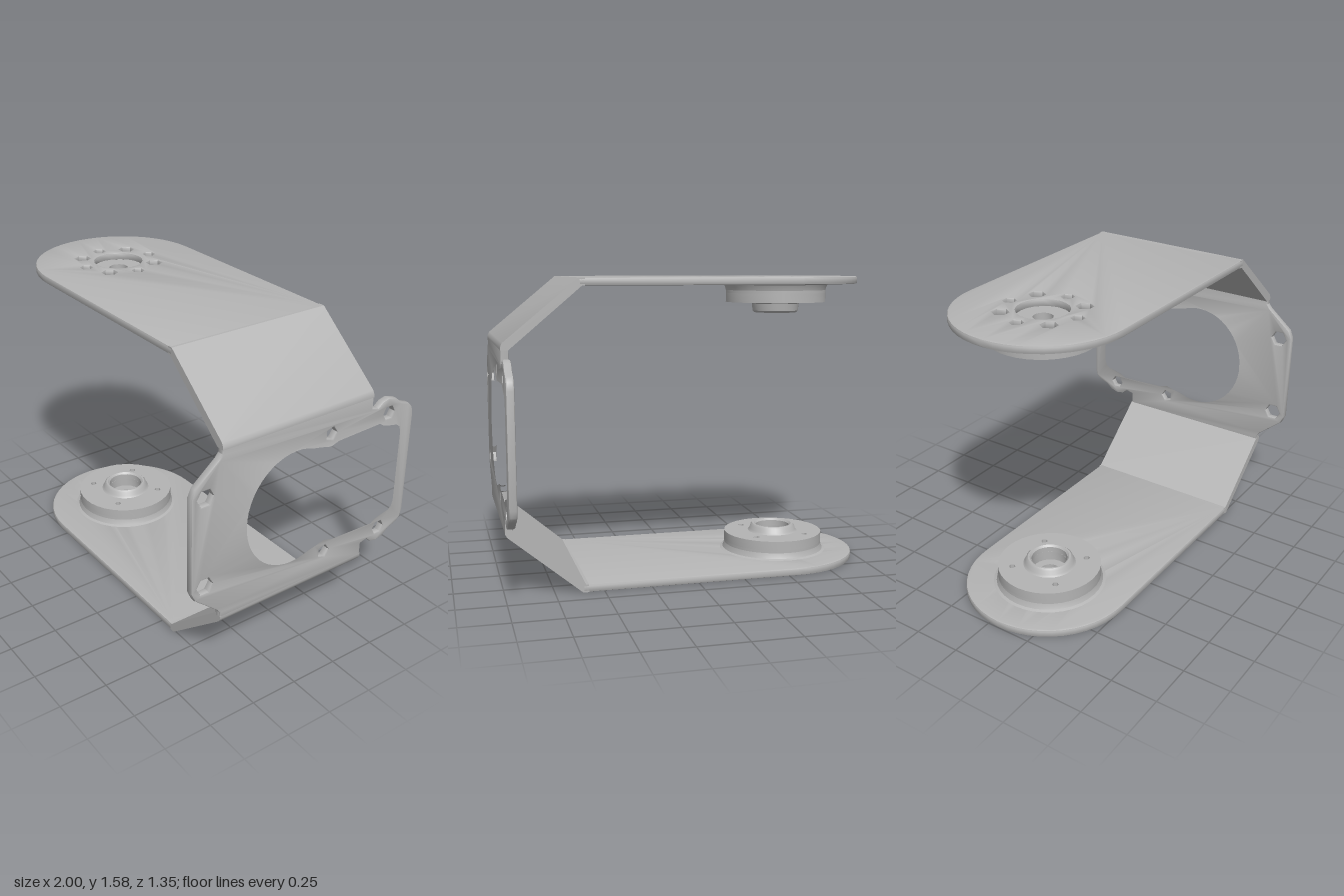
import * as THREE from 'three';
import { toCreasedNormals } from 'three/addons/utils/BufferGeometryUtils.js';

const MID_Y = 0.79, MID_Z = 0.06, HUB_X = -0.555, T = 0.04;

// Points around a circle or ellipse, as a list of Vector2
function ring(cx, cy, rx, ry, n, from = 0, sweep = Math.PI * 2) {
  const closed = sweep >= Math.PI * 2;
  const pts = [];
  for (let i = 0; i < (closed ? n : n + 1); i++) {
    const a = from + (sweep * i) / n;
    pts.push(new THREE.Vector2(cx + rx * Math.cos(a), cy + ry * Math.sin(a)));
  }
  return pts;
}
const hole = (x, y, r, n) => new THREE.Path(ring(x, y, r, r, n));

// Sheet of constant thickness with slightly rounded edges
function sheet(shape, depth, bevel) {
  const geo = new THREE.ExtrudeGeometry(shape, {
    depth: depth - 2 * bevel, bevelEnabled: bevel > 0, bevelThickness: bevel,
    bevelSize: bevel, bevelOffset: -bevel, bevelSegments: 2,
  });
  geo.translate(0, 0, bevel);
  return toCreasedNormals(geo, 0.65);
}

export function createModel() {
  const model = new THREE.Group();
  model.name = 'bracket';
  const metal = new THREE.MeshStandardMaterial({ color: 0xb4b4b4 });
  metal.name = 'grey metal';

  const add = (parent, name, geo) => {
    const mesh = new THREE.Mesh(geo, metal);
    mesh.name = name;
    parent.add(mesh);
  };

  // Round-ended arm with the recess and a circle of eight screw holes
  const armShape = new THREE.Shape([
    new THREE.Vector2(0.605, -0.45), new THREE.Vector2(0.605, 0.45),
    ...ring(-0.55, 0, 0.45, 0.45, 24, Math.PI / 2, Math.PI),
  ]);
  armShape.holes.push(hole(HUB_X, 0, 0.13, 20));
  for (let i = 0; i < 8; i++) {
    const a = (i * Math.PI) / 4;
    armShape.holes.push(hole(HUB_X + 0.2 * Math.cos(a), 0.2 * Math.sin(a), i % 2 ? 0.042 : 0.033, 6));
  }
  const armGeo = sheet(armShape, T, 0.008).rotateX(-Math.PI / 2);

  // Sloping fold between the arm and the mounting plate
  const foldShape = new THREE.Shape([
    [0.58, 0], [0.61, 0], [0.985, 0.31], [0.995, 0.33], [0.995, 0.345],
    [0.955, 0.345], [0.595, T], [0.58, T],
  ].map(([x, y]) => new THREE.Vector2(x, y)));
  const foldGeo = sheet(foldShape, 0.9, 0).translate(0, 0, -0.45);

  // Layer of the hub disc, with four small through holes
  function hubLayer(bore, bottom, top) {
    const s = new THREE.Shape(ring(0, 0, 0.275, 0.275, 36));
    s.holes.push(hole(0, 0, bore, 20));
    for (let i = 0; i < 4; i++) {
      const a = Math.PI / 4 + (i * Math.PI) / 2;
      s.holes.push(hole(0.2 * Math.cos(a), 0.2 * Math.sin(a), 0.018, 6));
    }
    return sheet(s, top - bottom, 0).rotateX(-Math.PI / 2).translate(HUB_X, bottom, 0);
  }

  function lathe(points) {
    const geo = new THREE.LatheGeometry(points.map(([r, y]) => new THREE.Vector2(r, y)), 36);
    return toCreasedNormals(geo, 0.65).translate(HUB_X, 0, 0);
  }

  // One half: arm, fold and hub, built upward from y = 0
  function half(name, bossTop, bore) {
    const g = new THREE.Group();
    g.name = name;
    add(g, 'arm', armGeo);
    add(g, 'fold', foldGeo);
    add(g, 'hubWeb', hubLayer(0.05, T, 0.09));
    add(g, 'hubDisc', hubLayer(bore, 0.09, 0.14));
    add(g, 'hubFillet', lathe([[0.3, T], [0.285, 0.046], [0.279, 0.06], [0.275, 0.075]]));
    add(g, 'hubBoss', lathe([
      [0.14, 0.14], [0.13, 0.15], [0.125, bossTop - 0.01], [0.115, bossTop],
      [bore + 0.01, bossTop], [bore, bossTop - 0.01], [bore, 0.14],
    ]));
    model.add(g);
    return g;
  }

  half('lowerHalf', 0.18, 0.095).position.z = MID_Z;
  const upper = half('upperHalf', 0.198, 0.065);
  upper.rotation.x = Math.PI;
  upper.position.set(0, 2 * MID_Y, MID_Z);

  // Mounting plate outline, given as z and y for the upper half and mirrored down
  const mirrored = (pts) => {
    const up = pts.map(([z, y]) => new THREE.Vector2(-z, y));
    const down = up.map((p) => new THREE.Vector2(p.x, 2 * MID_Y - p.y)).reverse();
    return [...up, ...down];
  };
  const plateShape = new THREE.Shape(mirrored([
    [0.675, 1.04], [0.655, 1.085], [0.53, 1.19], [0.51, 1.215], [0.51, 1.245],
    [-0.39, 1.245], [-0.39, 1.175], [-0.43, 1.165], [-0.46, 1.19], [-0.5, 1.2],
    [-0.55, 1.185], [-0.585, 1.155], [-0.64, 1.135], [-0.665, 1.11], [-0.675, 1.07],
  ]));

  // Large window: round at the front, squared off towards the back
  const roundEdge = ring(0.08, MID_Y, 0.293, 0.315, 14, 0.11, 1.83).map((p) => [p.x, p.y]);
  plateShape.holes.push(new THREE.Path(mirrored([
    ...roundEdge, [-0.07, 1.075], [-0.13, 1.06], [-0.18, 1.075], [-0.45, 1.085],
    [-0.48, 1.065], [-0.52, 1.055], [-0.57, 1.045], [-0.595, 1.025], [-0.605, 0.99],
  ])));

  // Plate screw holes
  for (const [z, y, r, n] of [[0.6, 1.025, 0.045, 6], [-0.13, 1.12, 0.034, 5], [-0.505, 1.12, 0.036, 6]]) {
    plateShape.holes.push(hole(-z, y, r, n), hole(-z, 2 * MID_Y - y, r, n));
  }
  add(model, 'mountingPlate', sheet(plateShape, T, 0.008).rotateY(Math.PI / 2).translate(0.955, 0, 0));

  return model;
}
